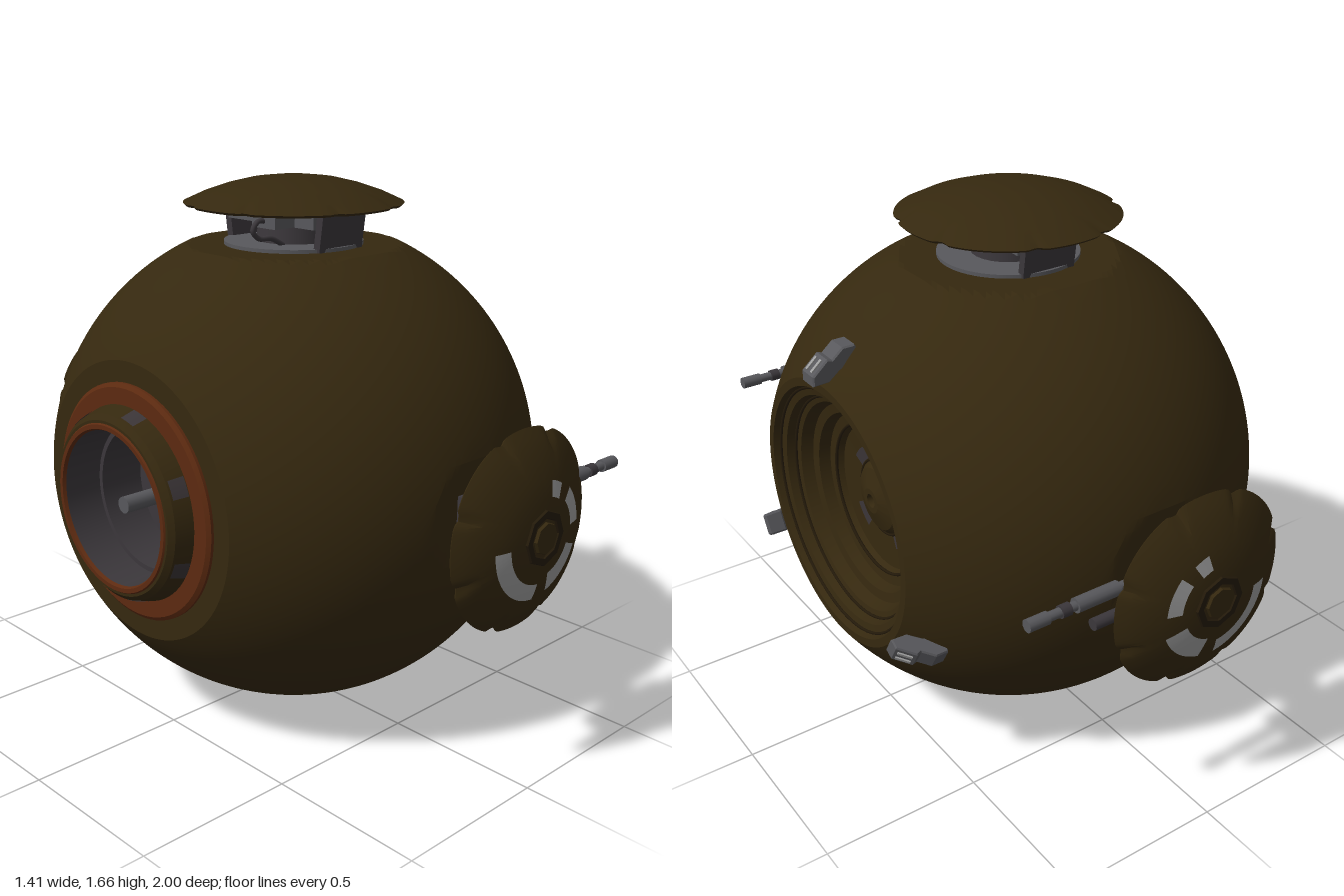
import * as THREE from 'three';
import { toCreasedNormals } from 'three/addons/utils/BufferGeometryUtils.js';

const mat = (name, color, side = THREE.FrontSide) => {
  const m = new THREE.MeshStandardMaterial({ color, side });
  m.name = name;
  return m;
};

// Turned part about the x, y or z axis; points are [radius, position along axis]
function turned(points, axis = 'y', segs = 64, start = 0, length = Math.PI * 2, rule = null, crease = 0.4) {
  let g = new THREE.LatheGeometry(points.map(p => new THREE.Vector2(...p)), segs, start, length);
  if (rule) rule(g.attributes.position);
  g.deleteAttribute('uv');
  g = toCreasedNormals(g, crease);
  if (axis === 'x') g.rotateZ(-Math.PI / 2);
  if (axis === 'z') g.rotateX(Math.PI / 2);
  return g;
}

const box = (w, h, d, x, y, z) => new THREE.BoxGeometry(w, h, d).translate(x, y, z);

// Rod along x
const rod = (r, x0, x1, y, z, segs = 12) =>
  new THREE.CylinderGeometry(r, r, x1 - x0, segs).rotateZ(Math.PI / 2).translate((x0 + x1) / 2, y, z);

// Mirror a geometry in z and keep its faces outward
function mirrorZ(geometry) {
  const g = geometry.index ? geometry.toNonIndexed() : geometry.clone();
  for (const key of ['position', 'normal']) {
    const a = g.attributes[key];
    for (let i = 0; i < a.count; i += 3) {
      const p = new THREE.Vector3().fromBufferAttribute(a, i + 1);
      const q = new THREE.Vector3().fromBufferAttribute(a, i + 2);
      a.setXYZ(i, a.getX(i), a.getY(i), -a.getZ(i));
      a.setXYZ(i + 1, q.x, q.y, -q.z);
      a.setXYZ(i + 2, p.x, p.y, -p.z);
    }
  }
  return g;
}

// Cut eight small notches into the outer rim of a shield
function notchRim(inner) {
  return pos => {
    for (let i = 0; i < pos.count; i++) {
      const x = pos.getX(i), z = pos.getZ(i), r = Math.hypot(x, z);
      if (r < inner) continue;
      const a = Math.atan2(x, z), quarter = Math.PI / 2;
      const off = Math.abs(a - Math.round(a / quarter) * quarter);
      const k = 1 - 0.008 * Math.cos(4 * a) - 0.05 * Math.exp(-(((off - 0.36) / 0.05) ** 2));
      pos.setX(i, x * k);
      pos.setZ(i, z * k);
    }
  };
}

export function createModel() {
  const olive = mat('dark olive brown', 0x35280f);
  const dark = mat('deep brown', 0x241a0a);
  const rust = mat('rust orange', 0x5c2a10);
  const slate = mat('dark slate', 0x3b373b);
  const steel = mat('steel grey', 0x58585c);
  const pale = mat('pale worn metal', 0x9c9c9c, THREE.DoubleSide);
  const wear = mat('worn grey paint', 0x3a3436, THREE.DoubleSide);

  const model = new THREE.Group();
  model.name = 'sphericalPod';
  const hull = new THREE.Group();
  hull.name = 'hull';
  hull.position.set(0.02, 0.765, 0);
  model.add(hull);
  const add = (name, geometry, material, parent = hull) => {
    const m = new THREE.Mesh(geometry, material);
    m.name = name;
    parent.add(m);
    return m;
  };

  // Spherical body with a stepped dish in the +x end and flats at top and sides
  const R = 0.765, profile = [[0.27, -0.639], [0.35, -0.639]];
  const end = Math.acos(0.639 / R);
  for (let i = 0; i <= 72; i++) {
    const a = end + (Math.PI - 2 * end) * i / 72;
    profile.push([R * Math.sin(a), -R * Math.cos(a)]);
  }
  profile.push([0.395, 0.639], [0.385, 0.615], [0.36, 0.61], [0.35, 0.58], [0.33, 0.575], [0.315, 0.54],
    [0.285, 0.535], [0.275, 0.5], [0.24, 0.495], [0.23, 0.475], [0.12, 0.47], [0.1, 0.49],
    [0.04, 0.51], [0.022, 0.51], [0.018, 0.48], [0, 0.48]);
  const flats = pos => {
    for (let i = 0; i < pos.count; i++) {
      // before turning, -x becomes up
      pos.setX(i, Math.max(pos.getX(i), -0.69));
      pos.setZ(i, THREE.MathUtils.clamp(pos.getZ(i), -0.745, 0.745));
    }
  };
  add('body', turned(profile, 'x', 144, 0, Math.PI * 2, flats, 0.16), olive);

  // Dark seams and worn paint in the dish
  for (const [r, x] of [[0.385, 0.617], [0.35, 0.582], [0.24, 0.497], [0.12, 0.472]]) {
    add('dishSeam', new THREE.TorusGeometry(r, 0.005, 6, 72).rotateY(Math.PI / 2).translate(x, 0, 0), dark);
  }
  for (let i = 0; i < 4; i++) {
    const a = Math.PI / 4 + i * Math.PI / 2;
    add('dishWear', turned([[0.165, 0.477], [0.125, 0.474]], 'x', 8, a - 0.25, 0.5), wear);
  }
  add('dishWear', turned([[0.283, 0.539], [0.24, 0.539]], 'x', 8, -2.8, 0.28), wear);

  // Hollow thruster collar on the -x end
  add('collarRing', turned([[0.29, -0.657], [0.345, -0.657], [0.357, -0.648], [0.357, -0.636]], 'x', 72), rust);
  const collar = [[0.25, -0.725], [0.262, -0.725], [0.278, -0.71], [0.297, -0.65]];
  add('collarHousing', turned(collar, 'x', 72), olive);
  add('collarLip', turned([[0.232, -0.72], [0.237, -0.73], [0.25, -0.73], [0.256, -0.722]], 'x', 72), rust);
  add('collarCavity', turned([[0, -0.46], [0.1, -0.46], [0.1, -0.48], [0.17, -0.48], [0.17, -0.46],
    [0.21, -0.46], [0.215, -0.6], [0.23, -0.6], [0.234, -0.722]], 'x', 64), slate);
  add('collarAxle', rod(0.025, -0.68, -0.45, 0, 0, 16), steel);
  for (let i = 0; i < 7; i++) {
    add('collarWear', turned([[0.2815, -0.705], [0.2965, -0.66]], 'x', 8, 0.35 + i * 0.9, 0.2), wear);
  }

  // Three clamps around the dish
  const clampShape = new THREE.Shape([[0.53, 0.5], [0.55, 0.54], [0.585, 0.54], [0.62, 0.51], [0.635, 0.515],
    [0.68, 0.475], [0.68, 0.45], [0.635, 0.452], [0.6, 0.48]].map(p => new THREE.Vector2(...p)));
  const clampGeo = new THREE.ExtrudeGeometry(clampShape, {
    depth: 0.06, bevelEnabled: true, bevelSize: 0.004, bevelThickness: 0.005, bevelSegments: 1 }).translate(0, 0, -0.03);
  for (let i = 0; i < 3; i++) {
    const clamp = new THREE.Group();
    clamp.name = 'clamp';
    clamp.rotation.x = i * Math.PI * 2 / 3;
    hull.add(clamp);
    add('clampArm', clampGeo, steel, clamp);
    for (const z of [-0.014, 0.014]) {
      const bar = add('clampBar', new THREE.BoxGeometry(0.045, 0.008, 0.01), pale, clamp);
      bar.position.set(0.661, 0.498, z);
      bar.rotation.z = -0.73;
    }
  }

  // Top turret under its dome shield
  const top = new THREE.Group();
  top.name = 'topTurret';
  hull.add(top);
  add('topShield', turned([[0, 0.875], [0.2, 0.855], [0.3, 0.81], [0.328, 0.81], [0.335, 0.817], [0.28, 0.843],
    [0.21, 0.867], [0.14, 0.884], [0.07, 0.893], [0, 0.895]], 'y', 128, 0, Math.PI * 2, notchRim(0.295)), olive, top);
  add('turretBase', new THREE.CylinderGeometry(0.215, 0.215, 0.012, 64).translate(0, 0.695, 0), steel, top);
  add('turretHub', new THREE.CylinderGeometry(0.1, 0.115, 0.17, 24).translate(0, 0.78, 0), slate, top);
  add('turretHousing', box(0.2, 0.05, 0.38, 0, 0.782, 0), steel, top);
  add('turretCrossbar', box(0.36, 0.048, 0.1, 0, 0.782, 0.06), steel, top);
  add('turretMuzzle', rod(0.02, 0.17, 0.22, 0.782, 0.06), pale, top);
  for (const s of [-1, 1]) {
    const leg = add('turretLeg', new THREE.BoxGeometry(0.18, 0.125, 0.025), slate, top);
    leg.position.set(0, 0.752, s * 0.2);
    leg.rotation.x = s * 0.14;
    add('turretMark', box(0.006, 0.03, 0.022, 0.102, 0.785, s * 0.14 - 0.03), rust, top);
    add('turretPanel', box(0.006, 0.03, 0.1, 0.102, 0.782, s * 0.075), pale, top);
  }
  const hose = new THREE.CatmullRomCurve3([[-0.16, 0.775], [-0.2, 0.78], [-0.222, 0.755], [-0.2, 0.73],
    [-0.15, 0.725], [-0.1, 0.7]].map(([x, y]) => new THREE.Vector3(x, y, 0.06)));
  add('turretHose', new THREE.TubeGeometry(hose, 32, 0.008, 8), slate, top);

  // Side gun pod parts, shaped for the +z side
  const dome = [[0.296, 0.905], [0.27, 0.925], [0.23, 0.947], [0.17, 0.972], [0.11, 0.986], [0.06, 0.991], [0, 0.992]];
  const parts = [
    ['podShield', turned([[0, 0.955], [0.15, 0.945], [0.23, 0.92], [0.27, 0.9], [0.29, 0.898], ...dome],
      'z', 128, 0, Math.PI * 2, notchRim(0.265)), olive],
    ['shieldBolt', turned([[0.085, 0.98], [0.08, 0.996], [0.06, 0.996], [0.055, 0.988]], 'z', 8), dark],
    ['shieldBoltCap', turned([[0.05, 0.985], [0.045, 1], [0, 1]], 'z', 8), olive],
    ['podNeck', turned([[0.075, 0.735], [0.075, 0.765], [0.065, 0.77], [0.065, 0.8]], 'z', 32), slate],
    ['podBody', box(0.24, 0.2, 0.1, -0.01, 0.0, 0.84), slate],
    ['podPlate', box(0.2, 0.27, 0.05, -0.02, 0, 0.87), steel],
    ['podMount', box(0.14, 0.16, 0.07, 0, 0, 0.925), slate],
    ['gunBreech', box(0.25, 0.07, 0.075, -0.01, 0.062, 0.848), steel],
    ['gunBarrel', rod(0.014, 0.1, 0.53, 0.062, 0.85), steel],
    ['gunSleeve', rod(0.022, 0.24, 0.38, 0.062, 0.85), steel],
    ['gunCollar', rod(0.019, 0.4, 0.43, 0.062, 0.85), slate],
    ['gunMuzzle', rod(0.019, 0.47, 0.535, 0.062, 0.85), steel],
    ['lowerBarrel', rod(0.018, 0.1, 0.32, -0.025, 0.85), slate],
  ];
  for (const y of [0.062, -0.025, -0.07]) {
    parts.push(['gunPort', rod(0.026, 0.1, 0.125, y, 0.85, 16), slate]);
    parts.push(['rearPin', rod(0.008, -0.17, -0.12, y, 0.83, 8), slate]);
  }
  // Worn patches: start and end angle in degrees, inner and outer radius
  const height = r => {
    const i = dome.findIndex(p => p[0] <= r), [r0, z0] = dome[i - 1], [r1, z1] = dome[i];
    return z0 + (z1 - z0) * (r - r0) / (r1 - r0) + 0.003;
  };
  for (const [a0, a1, r0, r1] of [[182, 215, 0.135, 0.185], [212, 266, 0.135, 0.185], [284, 338, 0.115, 0.18],
    [2, 42, 0.125, 0.17], [58, 76, 0.115, 0.16]]) {
    const pts = [r1, (r0 + r1) / 2, r0].map(r => [r, height(r)]);
    const rad = Math.PI / 180;
    parts.push(['wornPatch', turned(pts, 'z', 16, (a0 + 90) * rad, (a1 - a0) * rad), pale]);
  }
  for (const side of ['front', 'back']) {
    const pod = new THREE.Group();
    pod.name = side + 'GunPod';
    hull.add(pod);
    for (const [name, g, m] of parts) add(name, side === 'front' ? g : mirrorZ(g), m, pod);
  }
  return model;
}
